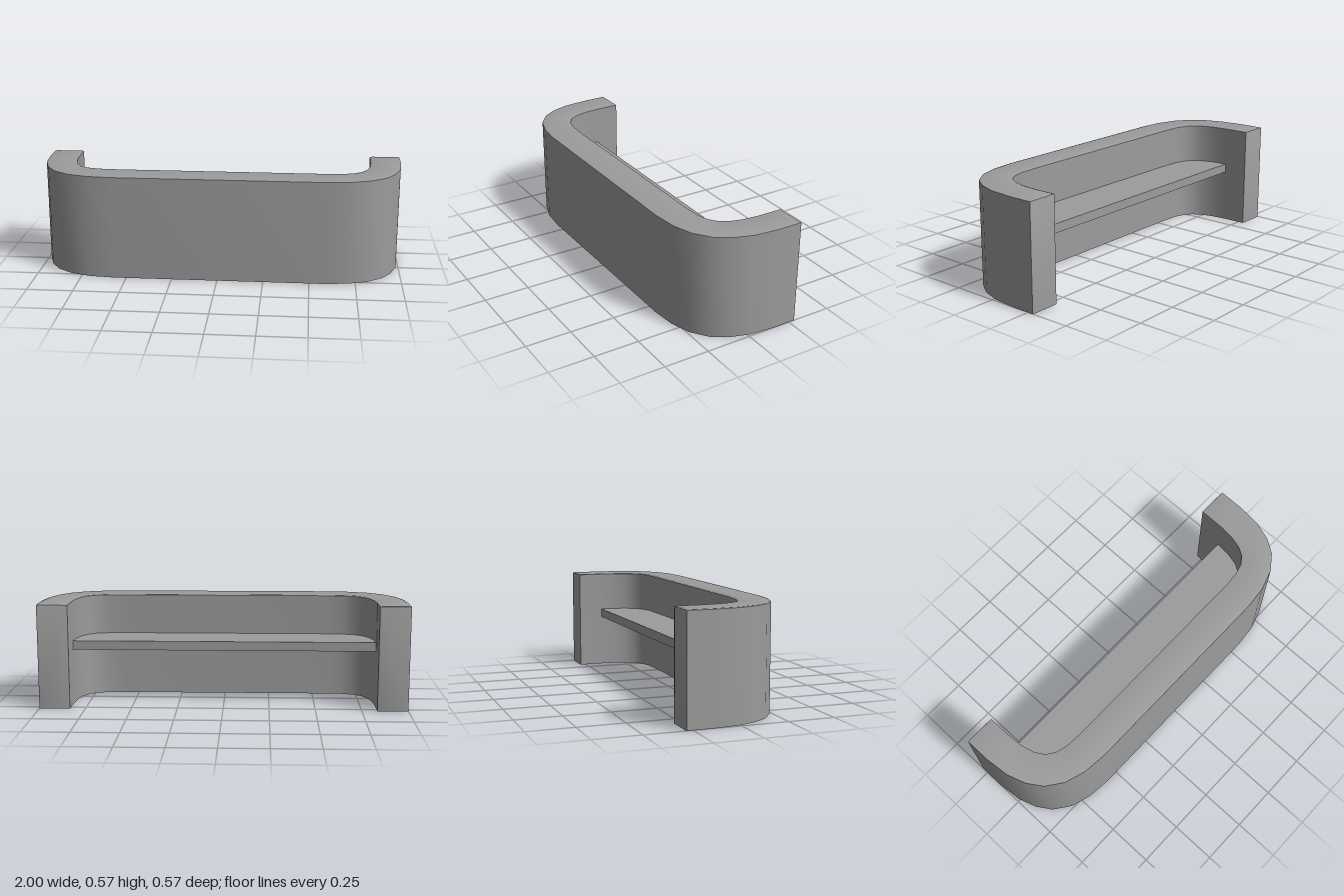
import * as THREE from 'three';
import { toCreasedNormals } from 'three/addons/utils/BufferGeometryUtils.js';

const HEIGHT = 0.572, BACK = -0.286;
// Faces bulge slightly: their rims drop by RISE over a strip of width RIM
const RISE = 0.003, RIM = 0.012;

// Half outlines in plan [x, z], from the arm to the front, matched point by point
const armEnds = [BACK, BACK + RISE, BACK + RIM];
const outerHalf = [...armEnds.map((z) => [1, z]), [1, -0.145], [0.987, -0.01], [0.953, 0.092],
  [0.9, 0.173], [0.813, 0.237], [0.702, 0.273], [0.57, 0.286]];
const innerHalf = [...armEnds.map((z) => [0.833, z]), [0.832, -0.145], [0.824, -0.06], [0.805, 0.01],
  [0.776, 0.058], [0.732, 0.09], [0.668, 0.108], [0.57, 0.114]];

const mirrored = (half) => [...half, ...half.map(([x, z]) => [-x, z]).reverse()]
  .map(([x, z]) => new THREE.Vector2(x, z));

// Wall section, open below: u runs from outer to inner face, v is height
const wallSection = (width, inset, drop) => [
  [0, 0], [0, HEIGHT - RISE], [RIM, HEIGHT],
  [width - RIM, HEIGHT], [width, HEIGHT - RISE], [width, 0],
].map(([u, v]) => [
  THREE.MathUtils.clamp(u, inset, width - inset), Math.min(v, HEIGHT - drop)]);

// Sweep the section along the U-shaped plan and cap both arm ends
function wallGeometry(outer, inner) {
  const positions = [], index = [];
  const last = outer.length - 1, n = 6;
  outer.forEach((o, i) => {
    const across = inner[i].clone().sub(o);
    const width = across.length();
    across.normalize();
    const fromEnd = Math.min(i, last - i);
    const section = wallSection(width, fromEnd === 0 ? RIM : 0, [RIM, RISE][fromEnd] ?? 0);
    for (const [u, v] of section) positions.push(o.x + across.x * u, v, o.y + across.y * u);
  });
  for (let i = 0; i < last; i++) {
    for (let j = 0; j < n - 1; j++) {
      const a = i * n + j, b = a + 1;
      index.push(a, b, b + n, a, b + n, a + n);
    }
  }
  for (let j = 1; j < n - 1; j++) {
    index.push(0, j + 1, j);
    index.push(last * n, last * n + j, last * n + j + 1);
  }
  const geometry = new THREE.BufferGeometry();
  geometry.setAttribute('position', new THREE.Float32BufferAttribute(positions, 3));
  geometry.setIndex(index);
  return toCreasedNormals(geometry, THREE.MathUtils.degToRad(35));
}

export function createModel() {
  const group = new THREE.Group();
  const material = new THREE.MeshStandardMaterial({ color: 0x9c9c9c, side: THREE.DoubleSide });
  const outer = mirrored(outerHalf), inner = mirrored(innerHalf);

  // Hollow curved wall with two arms reaching back
  const wall = new THREE.Mesh(wallGeometry(outer, inner), material);
  wall.name = 'curvedWall';
  group.add(wall);

  // Shelf filling the inside of the curve
  const outline = inner.map((p, i) => p.clone().lerp(outer[i], 0.02)).slice(3, -3);
  const shape = new THREE.Shape(outline.map((p) => new THREE.Vector2(p.x, -p.y)));
  const shelfGeometry = new THREE.ExtrudeGeometry(shape, { depth: 0.05, bevelEnabled: false });
  shelfGeometry.rotateX(-Math.PI / 2);
  const shelf = new THREE.Mesh(shelfGeometry, material);
  shelf.name = 'shelf';
  shelf.position.y = 0.3;
  group.add(shelf);

  return group;
}
